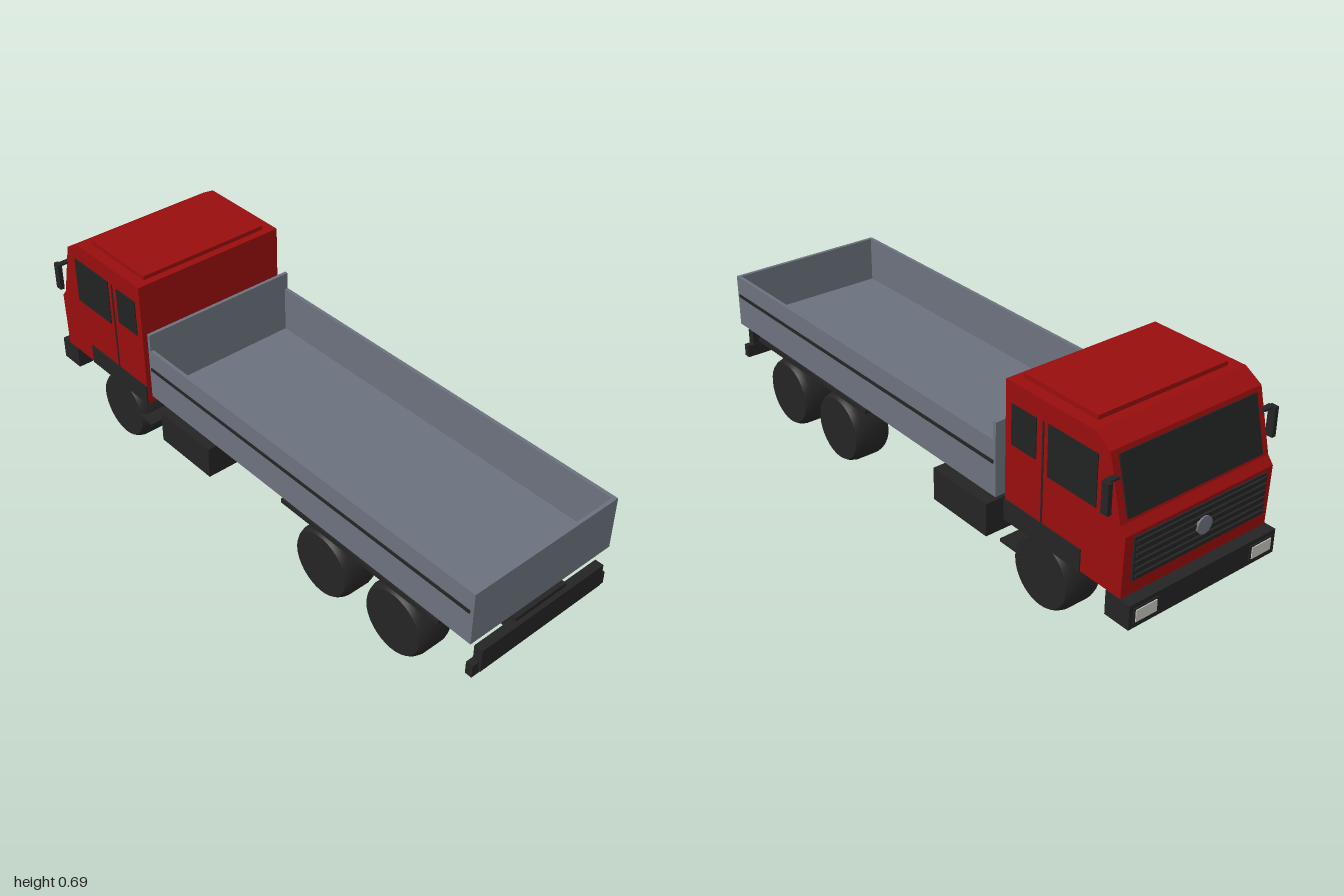
import * as THREE from 'three';
import { toCreasedNormals } from 'three/addons/utils/BufferGeometryUtils.js';

const mat = (name, color) => Object.assign(new THREE.MeshStandardMaterial({ color }), { name });

export function createModel() {
  const red = mat('cab red', 0x980d0d);
  const grey = mat('bed grey', 0x6b717d);
  const black = mat('trim black', 0x242424);
  const glass = mat('dark glass', 0x212222);
  const lamp = mat('lamp white', 0xc4c4bc);
  const truck = new THREE.Group();
  truck.name = 'truck';

  const add = (name, geo, material, parent = truck) => {
    const mesh = new THREE.Mesh(geo, material);
    mesh.name = name;
    parent.add(mesh);
    return mesh;
  };
  // Box given by its lower and upper limits on each axis
  const box = (name, material, [x0, x1], [y0, y1], [z0, z1], parent = truck) => {
    const mesh = add(name, new THREE.BoxGeometry(x1 - x0, y1 - y0, z1 - z0), material, parent);
    mesh.position.set((x0 + x1) / 2, (y0 + y1) / 2, (z0 + z1) / 2);
    return mesh;
  };
  // The same box on the left (+x) and the right
  const pair = (name, material, [x0, x1], y, z, parent = truck) => {
    box(name + 'Left', material, [x0, x1], y, z, parent);
    box(name + 'Right', material, [-x1, -x0], y, z, parent);
  };

  // Cab: side profile (forward distance, height) extruded across the width
  const cab = new THREE.Group();
  cab.name = 'cab';
  truck.add(cab);
  const profile = [[0.483, 0.22], [0.955, 0.22], [0.96, 0.415], [0.94, 0.44],
    [0.89, 0.637], [0.83, 0.672], [0.483, 0.672]];
  const cabGeo = new THREE.ExtrudeGeometry(
    new THREE.Shape(profile.map(([a, b]) => new THREE.Vector2(a, b))),
    { depth: 0.56, bevelEnabled: false });
  cabGeo.translate(0, 0, -0.28).rotateY(Math.PI / 2);
  add('cabBody', cabGeo, red, cab);
  box('roofPanel', red, [-0.24, 0.24], [0.67, 0.686], [-0.8, -0.51], cab);

  // Windows, door seams and lower skirts on both sides
  pair('doorWindow', glass, [0.277, 0.283], [0.45, 0.612], [-0.85, -0.66], cab);
  pair('rearSideWindow', glass, [0.277, 0.283], [0.48, 0.608], [-0.612, -0.51], cab);
  pair('doorSeam', black, [0.277, 0.282], [0.28, 0.61], [-0.642, -0.636], cab);
  pair('sideSkirt', black, [0.276, 0.284], [0.22, 0.29], [-0.8, -0.483], cab);

  // Windscreen lying on the sloping front
  const windscreen = add('windscreen', new THREE.BoxGeometry(0.51, 0.178, 0.008), glass, cab);
  windscreen.position.set(0, 0.537, -0.9165);
  windscreen.rotation.x = Math.atan2(0.05, 0.197);

  // Grille with slats and a plain centre disc
  box('grillePanel', black, [-0.25, 0.25], [0.27, 0.405], [-0.966, -0.95], cab);
  for (let i = 0; i < 6; i++) {
    const y = 0.279 + i * 0.0215;
    box('grilleSlat', black, [-0.245, 0.245], [y, y + 0.01], [-0.973, -0.964], cab);
  }
  const disc = add('grilleDisc', new THREE.CylinderGeometry(0.028, 0.028, 0.008, 24), grey, cab);
  disc.rotation.x = Math.PI / 2;
  disc.position.set(0, 0.345, -0.974);

  // Front bumper and headlights
  box('frontBumper', black, [-0.283, 0.283], [0.142, 0.22], [-0.993, -0.903], cab);
  pair('headlightRim', black, [0.178, 0.268], [0.158, 0.206], [-0.996, -0.99], cab);
  pair('headlight', lamp, [0.185, 0.262], [0.163, 0.201], [-0.999, -0.992], cab);

  // Mirrors on short arms, and steps behind the front wheels
  pair('mirror', black, [0.303, 0.318], [0.478, 0.573], [-0.928, -0.903], cab);
  pair('mirrorArm', black, [0.27, 0.31], [0.568, 0.574], [-0.92, -0.9], cab);
  pair('step', black, [0.17, 0.283], [0.135, 0.145], [-0.56, -0.467], cab);

  // Open load bed with a taller headboard
  const bed = new THREE.Group();
  bed.name = 'loadBed';
  truck.add(bed);
  box('bedFloor', grey, [-0.275, 0.275], [0.276, 0.3], [-0.44, 0.975], bed);
  pair('sideBoard', grey, [0.273, 0.285], [0.276, 0.46], [-0.435, 0.973], bed);
  box('tailBoard', grey, [-0.285, 0.285], [0.276, 0.46], [0.973, 0.985], bed);
  box('headBoard', grey, [-0.285, 0.285], [0.276, 0.52], [-0.447, -0.435], bed);
  pair('sideStripe', black, [0.284, 0.288], [0.384, 0.395], [-0.437, 0.973], bed);

  // Chassis, side boxes, wheel covers and rear bumper
  const chassis = new THREE.Group();
  chassis.name = 'chassis';
  truck.add(chassis);
  box('frame', black, [-0.103, 0.103], [0.19, 0.25], [-0.483, 0.985], chassis);
  pair('sideBox', black, [0.148, 0.284], [0.118, 0.23], [-0.405, -0.153], chassis);
  pair('boxBracket', black, [0.1, 0.15], [0.19, 0.22], [-0.36, -0.2], chassis);
  pair('wheelCover', black, [0.147, 0.285], [0.252, 0.267], [0.207, 0.865], chassis);
  box('rearBumper', black, [-0.25, 0.25], [0.156, 0.236], [0.97, 1], chassis);
  box('rearBumperBar', black, [-0.275, 0.275], [0.144, 0.188], [0.968, 0.992], chassis);

  // Six wheels with rounded shoulders
  const tyre = [[0, -0.064], [0.108, -0.064], [0.115, -0.054], [0.12, -0.038],
    [0.12, 0.038], [0.115, 0.054], [0.108, 0.064], [0, 0.064]];
  const wheelGeo = toCreasedNormals(
    new THREE.LatheGeometry(tyre.map(([r, h]) => new THREE.Vector2(r, h)), 32).rotateZ(Math.PI / 2), 0.6);
  for (const z of [-0.64, 0.382, 0.69]) {
    for (const side of [-1, 1]) {
      const name = (z < 0 ? 'front' : 'rear') + 'Wheel' + (side > 0 ? 'Left' : 'Right');
      add(name, wheelGeo, black).position.set(side * 0.216, 0.12, z);
    }
  }
  return truck;
}
